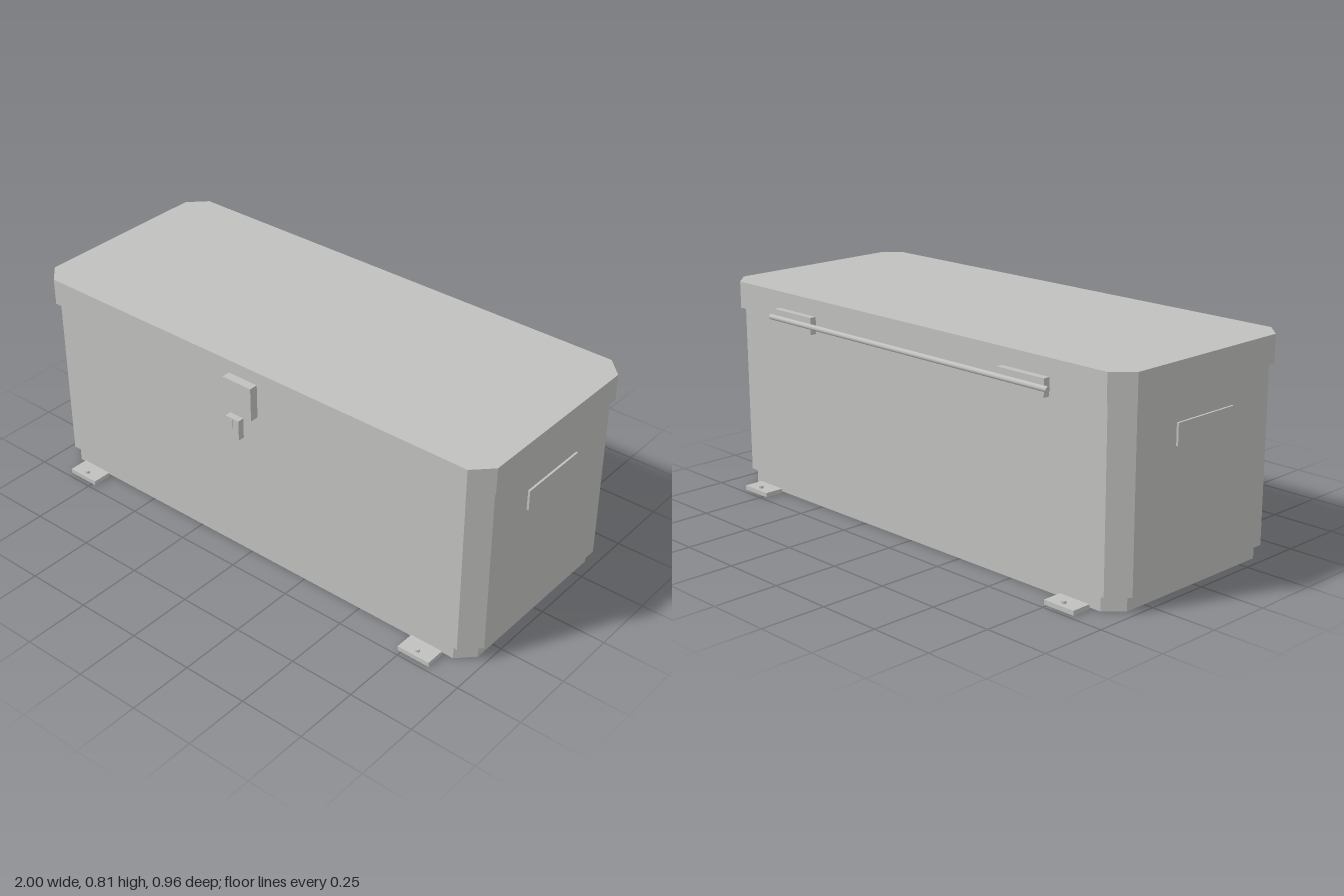
import * as THREE from 'three';

// Rectangle with cut corners, half sizes X and Z, cut c, at height y
const ring = (X, Z, c, y) => [
  [X, -Z + c], [X, Z - c], [X - c, Z], [-X + c, Z],
  [-X, Z - c], [-X, -Z + c], [-X + c, -Z], [X - c, -Z],
].map(([x, z]) => [x, y, z]);

// Flat-faced skin through a stack of rings, optionally closed on top
function loft(rings, closedTop) {
  const pos = [];
  for (let r = 0; r + 1 < rings.length; r++) {
    const lo = rings[r], hi = rings[r + 1];
    for (let i = 0; i < 8; i++) {
      const j = (i + 1) % 8;
      pos.push(...lo[i], ...hi[i], ...lo[j], ...lo[j], ...hi[i], ...hi[j]);
    }
  }
  if (closedTop) {
    const top = rings[rings.length - 1];
    for (let i = 0; i < 8; i++) pos.push(0, top[0][1], 0, ...top[(i + 1) % 8], ...top[i]);
  }
  const g = new THREE.BufferGeometry();
  g.setAttribute('position', new THREE.Float32BufferAttribute(pos, 3));
  g.computeVertexNormals();
  return g;
}

export function createModel() {
  const model = new THREE.Group();
  model.name = 'storageChest';
  const grey = new THREE.MeshStandardMaterial({ color: 0xc0c0be, side: THREE.DoubleSide });
  grey.name = 'greyMetal';

  const add = (name, geometry, parent = model) => {
    const mesh = new THREE.Mesh(geometry, grey);
    mesh.name = name;
    parent.add(mesh);
    return mesh;
  };
  // Box given by its lower and upper limits on each axis
  const box = (name, x0, x1, y0, y1, z0, z1, parent) => {
    const mesh = add(name, new THREE.BoxGeometry(x1 - x0, y1 - y0, z1 - z0), parent);
    mesh.position.set((x0 + x1) / 2, (y0 + y1) / 2, (z0 + z1) / 2);
    return mesh;
  };
  const group = (name) => {
    const g = new THREE.Group();
    g.name = name;
    model.add(g);
    return g;
  };

  // Hollow body, open underneath, with a narrower plinth
  add('plinth', loft([ring(0.963, 0.393, 0.06, 0), ring(0.963, 0.393, 0.06, 0.055)]));
  add('body', loft([
    ring(0.963, 0.393, 0.06, 0.055),
    ring(0.988, 0.402, 0.065, 0.055),
    ring(0.988, 0.402, 0.065, 0.703),
  ]));

  // Lid overhanging the body
  add('lid', loft([
    ring(0.988, 0.402, 0.065, 0.703),
    ring(1, 0.417, 0.067, 0.703),
    ring(1, 0.417, 0.067, 0.805),
  ], true));

  // Front latch: hasp, tongue and staple
  const latch = group('latch');
  box('hasp', -0.063, 0.063, 0.625, 0.755, 0.417, 0.45, latch);
  box('tongue', -0.03, 0.03, 0.547, 0.625, 0.453, 0.478, latch);
  box('staple', -0.003, 0.003, 0.587, 0.622, 0.449, 0.481, latch);

  // End handle plates
  for (const s of [-1, 1]) {
    const x = 0.991 * s;
    box(s > 0 ? 'leftHandle' : 'rightHandle', x - 0.005, x + 0.005, 0.52, 0.598, -0.142, 0.142);
  }

  // Rear hinge leaves and the rod joining them
  const hinge = group('hinge');
  for (const s of [-1, 1]) {
    box('hingeLeaf', 0.585 * s - 0.105, 0.585 * s + 0.105, 0.678, 0.742, -0.442, -0.417, hinge);
  }
  const rod = add('hingeRod', new THREE.CylinderGeometry(0.01, 0.01, 1.42, 16), hinge);
  rod.rotation.z = Math.PI / 2;
  rod.position.set(0, 0.71, -0.445);

  // Four mounting feet with bolts
  for (const sx of [-1, 1]) for (const sz of [-1, 1]) {
    const foot = group('mountingFoot');
    const x = 0.8 * sx, z = 0.442 * sz;
    box('footPlate', x - 0.065, x + 0.065, 0, 0.017, z - 0.038, z + 0.038, foot);
    const bolt = add('bolt', new THREE.CylinderGeometry(0.009, 0.009, 0.01, 12), foot);
    bolt.position.set(x, 0.021, 0.455 * sz);
  }
  return model;
}
